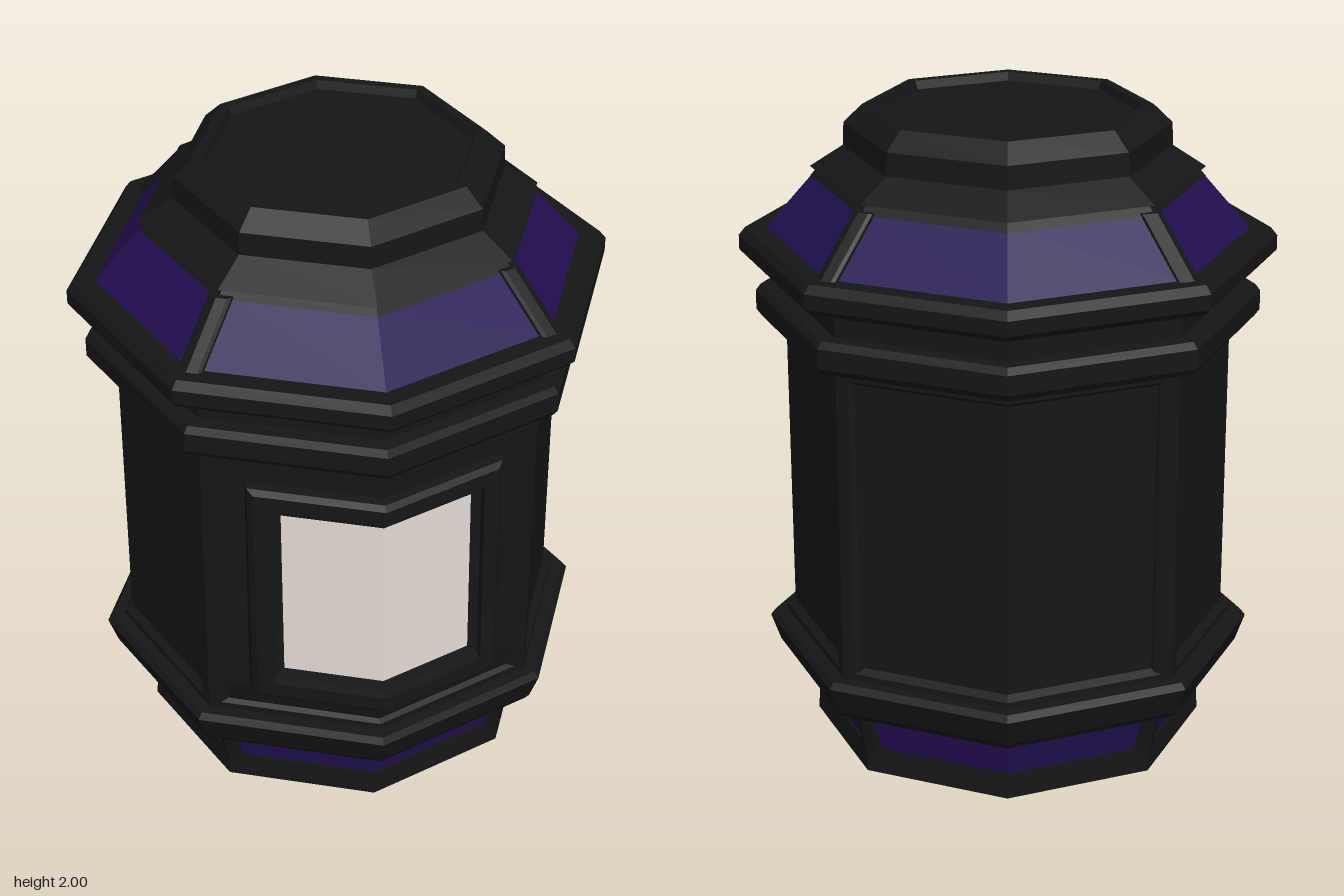
import * as THREE from 'three';

const mat = (color) => new THREE.MeshStandardMaterial({ color, flatShading: true, side: THREE.DoubleSide });

// Skin a list of closed loops (arrays of [x, y, z]), optionally capping both ends
function loft(loops, caps = true) {
  const n = loops[0].length, pos = loops.flat(2), idx = [];
  for (let j = 0; j < loops.length - 1; j++) {
    for (let i = 0; i < n; i++) {
      const a = j * n + i, b = j * n + (i + 1) % n;
      idx.push(a, b, b + n, a, b + n, a + n);
    }
  }
  if (caps) {
    const top = (loops.length - 1) * n;
    for (let i = 1; i < n - 1; i++) idx.push(0, i + 1, i, top, top + i, top + i + 1);
  }
  const g = new THREE.BufferGeometry();
  g.setAttribute('position', new THREE.Float32BufferAttribute(pos, 3));
  g.setIndex(idx);
  g.computeVertexNormals();
  return g;
}

// Cross-section of a V-shaped strip that hugs an octagon corner at 45 degrees
function cornerLoop(r, y, w, depth, bevel) {
  const at = (radius, along, side) => {
    const c = radius * Math.SQRT1_2, t = THREE.MathUtils.degToRad(22.5);
    const long = along * Math.cos(t), short = along * Math.sin(t);
    return side > 0 ? [c + short, y, c - long] : [c - long, y, c + short];
  };
  return [at(r - depth, w, 1), at(r - bevel, w, 1), at(r, w - bevel, 1), at(r, 0, 1),
    at(r, w - bevel, -1), at(r - bevel, w, -1), at(r - depth, w, -1)];
}

export function createModel() {
  const root = new THREE.Group();
  root.name = 'octagonalLantern';
  const dark = mat(0x141617), purple = mat(0x230f52), pale = mat(0xe2dad4);

  // Octagonal shell, slightly shallower than wide
  const shell = new THREE.Group();
  shell.name = 'shell';
  shell.scale.z = 0.97;
  root.add(shell);

  const add = (parent, name, geometry, material) => {
    const m = new THREE.Mesh(geometry, material);
    m.name = name;
    parent.add(m);
    return m;
  };
  const octagon = (name, profile, material = dark) =>
    add(shell, name, new THREE.LatheGeometry(profile.map(([r, y]) => new THREE.Vector2(r, y)), 8), material);

  octagon('base', [[0, 0], [0.61, 0], [0.605, 0.08], [0.58, 0.08]]);
  octagon('lowerPurpleBand', [[0.595, 0.07], [0.625, 0.21]], purple);
  octagon('lowerRing', [[0.60, 0.205], [0.64, 0.205], [0.65, 0.225], [0.71, 0.225], [0.725, 0.245],
    [0.755, 0.33], [0.74, 0.35], [0.70, 0.35], [0.70, 0.37], [0.675, 0.385]]);
  octagon('wall', [[0.675, 0.36], [0.675, 1.32]]);
  octagon('wallTopTrim', [[0.675, 1.295], [0.70, 1.31], [0.70, 1.55]]);
  octagon('middleRing', [[0.69, 1.34], [0.75, 1.34], [0.765, 1.36], [0.765, 1.42], [0.75, 1.44], [0.69, 1.44]]);
  octagon('eavesRing', [[0.69, 1.53], [0.79, 1.53], [0.81, 1.55], [0.81, 1.595], [0.79, 1.62], [0.71, 1.62]]);
  octagon('roofPurpleBand', [[0.735, 1.61], [0.58, 1.79]], purple);
  octagon('cap', [[0.57, 1.78], [0.59, 1.78], [0.565, 1.81], [0.59, 1.81], [0.49, 1.875], [0.487, 1.945],
    [0.43, 2], [0.40, 2], [0.39, 1.975], [0, 1.975]]);

  // Corner strips dividing every band into four folded panels
  const strips = [
    ['wallPost', [[0.70, 0.36], [0.70, 1.32]], 0.05, 0.012],
    ['lowerPost', [[0.615, 0.07], [0.643, 0.215]], 0.035, 0.006],
    ['roofPost', [[0.755, 1.61], [0.60, 1.79]], 0.04, 0.008],
  ];
  for (const [name, ends, w, bevel] of strips) {
    const g = loft(ends.map(([r, y]) => cornerLoop(r, y, w, 0.05, bevel)));
    for (let k = 0; k < 4; k++) add(shell, name, g, dark).rotation.y = k * Math.PI / 2;
  }

  // Raised front panel behind the window
  const d = Math.SQRT1_2;
  const panelLoop = (r, y) => [[-r * d, y, r * d], [0, y, r], [r * d, y, r * d],
    [0.6 * d, y, 0.6 * d], [0, y, 0.6], [-0.6 * d, y, 0.6 * d]];
  add(shell, 'frontPanel', loft([panelLoop(0.68, 0.36), panelLoop(0.70, 0.46), panelLoop(0.70, 1.32)]), dark);

  // Window folded along its middle, leaning out a little at the foot
  const bend = (x, y, out) => 0.714 - (y - 0.575) * 0.042 - Math.abs(x) * 0.4 + out;
  const frameLoop = (grow, out) => {
    const hw = 0.28 + grow, y0 = 0.575 - grow, y1 = 1.138 + grow;
    return [[-hw, y0], [0, y0], [hw, y0], [hw, y1], [0, y1], [-hw, y1]].map(([x, y]) => [x, y, bend(x, y, out)]);
  };
  const frameProfile = [[0.095, -0.08], [0.095, 0.025], [0.08, 0.04], [0.035, 0.04], [0.03, 0.012], [0, 0.004], [0, -0.02]];
  add(root, 'windowFrame', loft(frameProfile.map(([g, o]) => frameLoop(g, o)), false), dark);

  const pane = new THREE.PlaneGeometry(0.56, 0.563, 2, 1).translate(0, 0.8565, 0);
  const p = pane.attributes.position;
  for (let i = 0; i < p.count; i++) p.setZ(i, bend(p.getX(i), p.getY(i), 0));
  pane.computeVertexNormals();
  add(root, 'windowPane', pane, pale);

  return root;
}
